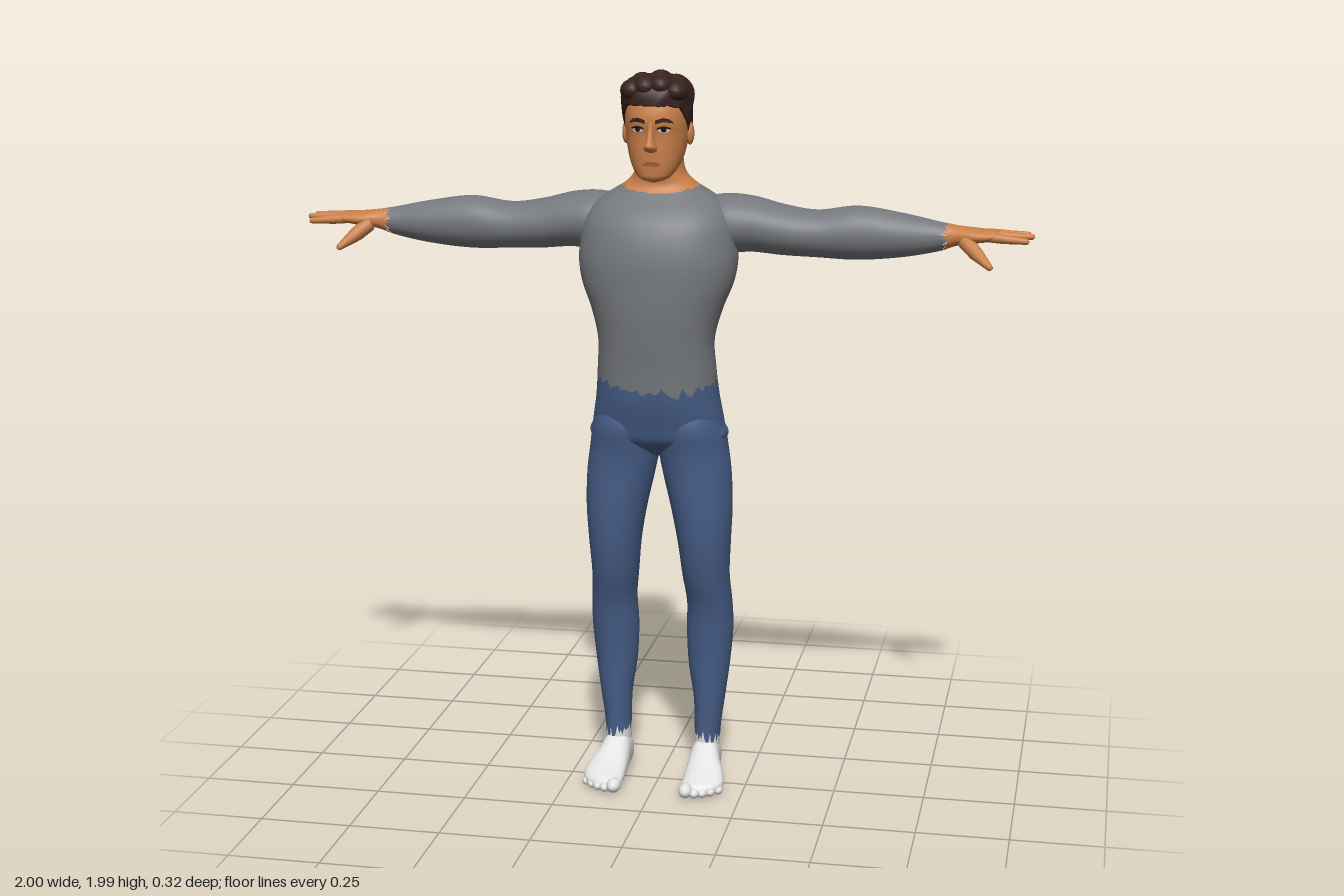
import * as THREE from 'three';

const mat = (name, color, side = THREE.FrontSide) => Object.assign(new THREE.MeshStandardMaterial({ color, side }), { name });
const M = {
  skin: mat('skin', 0xcb8049), hair: mat('dark hair', 0x38221f, THREE.DoubleSide),
  shirt: mat('grey shirt', 0x75787c), jeans: mat('blue jeans', 0x475e88), sock: mat('white sock', 0xe2e2e2),
  lip: mat('lips', 0xa85f40), white: mat('eye white', 0xd8d0c8), dark: mat('iris', 0x201614),
};

// Smooth interpolation of section rows [t, a0, a1, b0, b1]
function sample(rows, t) {
  const last = rows.length - 1;
  t = THREE.MathUtils.clamp(t, rows[0][0], rows[last][0]);
  let i = 0;
  while (i < last - 1 && t > rows[i + 1][0]) i++;
  const h = rows[i + 1][0] - rows[i][0], s = (t - rows[i][0]) / h;
  const slope = (k, c) => {
    const p = rows[Math.max(k - 1, 0)], q = rows[Math.min(k + 1, last)];
    return (q[c] - p[c]) / (q[0] - p[0]);
  };
  return [1, 2, 3, 4].map((c) =>
    (2 * s ** 3 - 3 * s * s + 1) * rows[i][c] + (s ** 3 - 2 * s * s + s) * h * slope(i, c) +
    (3 * s * s - 2 * s ** 3) * rows[i + 1][c] + (s ** 3 - s * s) * h * slope(i + 1, c));
}

// Skin over sections along an axis; lo and hi may vary around the ring
function loft(rows, axis, { lo = rows[0][0], hi = rows[rows.length - 1][0], n = 2, seg = 48, steps = 40, bump } = {}) {
  const pos = [], idx = [], end = (e, i, th) => (typeof e === 'function' ? e(i, th) : e);
  for (let j = 0; j <= steps; j++) {
    for (let i = 0; i < seg; i++) {
      const th = (i / seg) * Math.PI * 2, l = end(lo, i, th);
      const t = l + (end(hi, i, th) - l) * (j / steps);
      const [a0, a1, b0, b1] = sample(rows, t), k = bump ? bump(th, t, j) : 1;
      const pw = (v) => Math.sign(v) * Math.abs(v) ** (2 / n) * k;
      const a = (a0 + a1) / 2 + ((a1 - a0) / 2) * pw(Math.cos(th));
      const b = (b0 + b1) / 2 + ((b1 - b0) / 2) * pw(Math.sin(th));
      pos.push(...(axis === 'y' ? [a, t, b] : axis === 'x' ? [t, b, a] : [b, a, t]));
      if (j < steps) {
        const p = j * seg + i, q = j * seg + ((i + 1) % seg);
        idx.push(p, p + seg, q, q, p + seg, q + seg);
      }
    }
  }
  const g = new THREE.BufferGeometry();
  g.setAttribute('position', new THREE.Float32BufferAttribute(pos, 3));
  g.setIndex(idx);
  g.computeVertexNormals();
  return g;
}

// Rounded tapering finger between two points
function finger(p, q, r0, r1) {
  const a = new THREE.Vector3(...p), d = new THREE.Vector3(...q).sub(a), L = d.length();
  const prof = [[r0, 0], [r0, L * 0.4], [r1, L - r1], [r1 * 0.75, L - r1 * 0.35], [0, L]];
  const g = new THREE.LatheGeometry(prof.map((v) => new THREE.Vector2(...v)), 10);
  g.applyQuaternion(new THREE.Quaternion().setFromUnitVectors(new THREE.Vector3(0, 1, 0), d.normalize()));
  return g.translate(a.x, a.y, a.z);
}
const ball = (x, y, z, rx, ry, rz) => new THREE.SphereGeometry(1, 18, 12).scale(rx, ry, rz).translate(x, y, z);
function mirror(src) {
  const g = src.clone().scale(-1, 1, 1), ix = g.index;
  for (let i = 0; i < ix.count; i += 3) {
    const b = ix.getX(i + 1);
    ix.setX(i + 1, ix.getX(i + 2));
    ix.setX(i + 2, b);
  }
  return g;
}
const jag = (i) => Math.abs((Math.sin(i * 12.9898) * 43758.5453) % 1) - 0.5;
const sym = (rows) => rows.map(([t, w, b, f]) => [t, -w, w, b, f]);

const trunk = sym([
  [0.95, 0.02, -0.04, 0.03], [0.97, 0.08, -0.09, 0.06], [1.0, 0.183, -0.12, 0.095], [1.04, 0.181, -0.121, 0.11],
  [1.12, 0.168, -0.118, 0.132], [1.2, 0.161, -0.096, 0.139], [1.28, 0.158, -0.09, 0.148], [1.36, 0.178, -0.12, 0.155],
  [1.43, 0.205, -0.142, 0.156], [1.49, 0.215, -0.157, 0.155], [1.55, 0.21, -0.157, 0.145], [1.6, 0.2, -0.152, 0.125],
  [1.64, 0.175, -0.142, 0.09], [1.665, 0.14, -0.13, 0.058], [1.69, 0.098, -0.114, 0.042], [1.72, 0.07, -0.098, 0.044],
  [1.76, 0.062, -0.087, 0.048], [1.82, 0.06, -0.08, 0.05],
]);
const leg = [
  [0.04, 0.095, 0.16, -0.115, -0.02], [0.1, 0.093, 0.163, -0.115, -0.02], [0.15, 0.092, 0.166, -0.117, -0.02],
  [0.23, 0.09, 0.177, -0.12, -0.014], [0.33, 0.075, 0.19, -0.13, -0.008], [0.44, 0.07, 0.2, -0.135, 0.006],
  [0.52, 0.073, 0.198, -0.128, 0.022], [0.6, 0.064, 0.193, -0.117, 0.05], [0.7, 0.053, 0.198, -0.11, 0.072],
  [0.8, 0.035, 0.203, -0.11, 0.082], [0.9, 0.012, 0.2, -0.112, 0.086], [0.97, 0, 0.191, -0.118, 0.092],
  [1.04, 0, 0.18, -0.119, 0.106], [1.1, 0.02, 0.16, -0.1, 0.09],
];
// Arm and palm: x, back z, front z, bottom y, top y
const arm = [
  [0.1, -0.14, 0.02, 1.53, 1.65], [0.18, -0.155, 0.04, 1.505, 1.662], [0.25, -0.152, 0.032, 1.507, 1.656],
  [0.33, -0.145, 0.022, 1.5, 1.636], [0.42, -0.134, 0.014, 1.497, 1.624], [0.53, -0.126, 0.012, 1.494, 1.638],
  [0.65, -0.114, 0.004, 1.505, 1.622], [0.75, -0.092, -0.01, 1.525, 1.602], [0.79, -0.088, -0.01, 1.54, 1.595],
  [0.83, -0.096, 0, 1.548, 1.59], [0.87, -0.1, 0, 1.553, 1.586], [0.9, -0.094, -0.008, 1.56, 1.584], [0.912, -0.055, -0.045, 1.569, 1.573],
];
// Foot: z, bottom y, top y, inner x, outer x
const foot = [
  [-0.137, 0.02, 0.032, 0.12, 0.132], [-0.128, 0.004, 0.07, 0.102, 0.153], [-0.09, 0, 0.105, 0.09, 0.165],
  [-0.04, 0, 0.115, 0.088, 0.168], [0, 0, 0.096, 0.085, 0.178], [0.05, 0, 0.068, 0.084, 0.195],
  [0.09, 0, 0.05, 0.084, 0.196], [0.125, 0.002, 0.036, 0.088, 0.165], [0.14, 0.016, 0.02, 0.11, 0.12],
];
const head = sym([
  [1.703, 0.006, 0.06, 0.072], [1.712, 0.036, 0.02, 0.096], [1.73, 0.054, -0.01, 0.101], [1.76, 0.069, -0.05, 0.104],
  [1.79, 0.077, -0.072, 0.106], [1.83, 0.083, -0.08, 0.107], [1.866, 0.085, -0.085, 0.114], [1.9, 0.084, -0.085, 0.109],
  [1.94, 0.076, -0.078, 0.09], [1.97, 0.02, -0.02, 0.03],
]);
const hair = sym([
  [1.78, 0.068, -0.084, 0.05], [1.82, 0.085, -0.092, 0.085], [1.86, 0.09, -0.096, 0.112], [1.9, 0.093, -0.096, 0.117],
  [1.935, 0.095, -0.092, 0.115], [1.96, 0.084, -0.08, 0.1], [1.978, 0.058, -0.05, 0.065], [1.985, 0.004, -0.005, 0.01],
]);
const nose = sym([
  [1.783, 0.004, 0.085, 0.1], [1.79, 0.016, 0.085, 0.124], [1.801, 0.017, 0.085, 0.141], [1.815, 0.012, 0.085, 0.135],
  [1.84, 0.009, 0.085, 0.122], [1.866, 0.01, 0.085, 0.115],
]);

// Thin face detail laid onto the head surface
function patch(pts, lift) {
  const shape = new THREE.Shape();
  shape.setFromPoints(pts.map((p) => new THREE.Vector2(...p)));
  const g = new THREE.ShapeGeometry(shape), p = g.attributes.position;
  for (let i = 0; i < p.count; i++) {
    const [, w, b, f] = sample(head, p.getY(i));
    p.setZ(i, (b + f) / 2 + ((f - b) / 2) * (1 - Math.abs(p.getX(i) / w) ** 2.2) ** (1 / 2.2) + lift);
  }
  g.computeVertexNormals();
  return g;
}
const oval = (x, y, rx, ry) => Array.from({ length: 16 }, (_, i) =>
  [x + rx * Math.cos((i * Math.PI) / 8), y + ry * Math.sin((i * Math.PI) / 8)]);

export function createModel() {
  const model = new THREE.Group();
  const add = (name, g, m) => {
    const mesh = new THREE.Mesh(g, m);
    mesh.name = name;
    model.add(mesh);
  };
  const pair = (name, g, m) => {
    add('left ' + name, g, m);
    add('right ' + name, mirror(g), m);
  };

  // Trunk, split at a ragged hem and collar
  const hem = (i, th) => 1.165 - 0.022 * Math.max(0, Math.sin(th)) ** 2 + 0.035 * jag(i);
  const collar = (i, th) => 1.686 - 0.016 * Math.abs(Math.sin(th)) ** 3 + 0.006 * jag(i + 7);
  const ring = { n: 2.25, seg: 72 };
  add('hips', loft(trunk, 'y', { ...ring, hi: hem }), M.jeans);
  add('shirt body', loft(trunk, 'y', { ...ring, lo: hem, hi: collar }), M.shirt);
  add('neck', loft(trunk, 'y', { ...ring, lo: collar }), M.skin);

  // Legs and feet
  const ankle = (i) => 0.12 + 0.05 * jag(i + 3);
  pair('trouser leg', loft(leg, 'y', { lo: ankle, n: 2.1 }), M.jeans);
  pair('sock ankle', loft(leg, 'y', { hi: ankle, n: 2.1, steps: 8 }), M.sock);
  pair('foot', loft(foot, 'z', { n: 2.4 }), M.sock);
  [[0.102, 0.13, 0.02], [0.127, 0.131, 0.014], [0.148, 0.122, 0.013], [0.168, 0.108, 0.013], [0.187, 0.09, 0.013]]
    .forEach(([x, z, r], i) => pair('toe ' + (i + 1), ball(x, r + 0.002, z, r, r, r * 1.5), M.sock));

  // Arms and hands
  const cuff = (i) => 0.765 + 0.02 * jag(i + 11);
  pair('sleeve', loft(arm, 'x', { hi: cuff }), M.shirt);
  pair('palm', loft(arm, 'x', { lo: cuff, n: 2.3, steps: 24 }), M.skin);
  [[-0.084, 0.955, -0.092, 1.57], [-0.063, 0.988, -0.068, 1.573], [-0.04, 0.998, -0.038, 1.571], [-0.016, 0.985, -0.006, 1.562]]
    .forEach(([z, x1, z1, y1], i) => pair('finger ' + (i + 1), finger([0.87, 1.57, z], [x1, y1, z1], 0.0125, 0.008), M.skin));
  pair('thumb', finger([0.815, 1.557, -0.018], [0.892, 1.493, 0.04], 0.02, 0.009), M.skin);

  // Head and face
  add('head', loft(head, 'y', { n: 2.2 }), M.skin);
  add('nose', loft(nose, 'y', { seg: 20, steps: 20 }), M.skin);
  pair('ear', ball(0.086, 1.828, 0.004, 0.011, 0.031, 0.019), M.skin);
  pair('eye white', patch(oval(0.035, 1.845, 0.016, 0.007), 0.002), M.white);
  pair('iris', patch(oval(0.035, 1.846, 0.007, 0.007), 0.004), M.dark);
  pair('upper eyelid', patch([[0.017, 1.846], [0.035, 1.851], [0.053, 1.846], [0.052, 1.851], [0.035, 1.856], [0.019, 1.852]], 0.005), M.dark);
  pair('eyebrow', patch([[0.014, 1.861], [0.034, 1.866], [0.06, 1.862], [0.05, 1.873], [0.034, 1.877], [0.014, 1.871]], 0.004), M.hair);
  add('lips', patch(oval(0, 1.753, 0.025, 0.007), 0.003), M.lip);

  // Hair: wavy cap with a hairline, plus swept locks on top
  const hairline = (i, th) => 1.8 + 0.105 * THREE.MathUtils.smoothstep(Math.sin(th), -0.2, 0.75) + 0.008 * jag(i + 5);
  const wave = (th, t, j) => (j === 0 ? 0.9 : 1 + 0.018 * Math.sin(9 * th + 60 * t));
  add('hair cap', loft(hair, 'y', { lo: hairline, n: 2.2, seg: 64, bump: wave }), M.hair);
  [[-0.055, 1.945, 0.07], [-0.018, 1.955, 0.075], [0.022, 1.958, 0.072], [0.06, 1.943, 0.065],
    [-0.04, 1.958, 0.015], [0.008, 1.965, 0.01], [0.05, 1.955, 0.015]]
    .forEach(([x, y, z], i) => add('hair lock ' + (i + 1), ball(x, y, z, 0.033, 0.029, 0.042), M.hair));
  return model;
}
